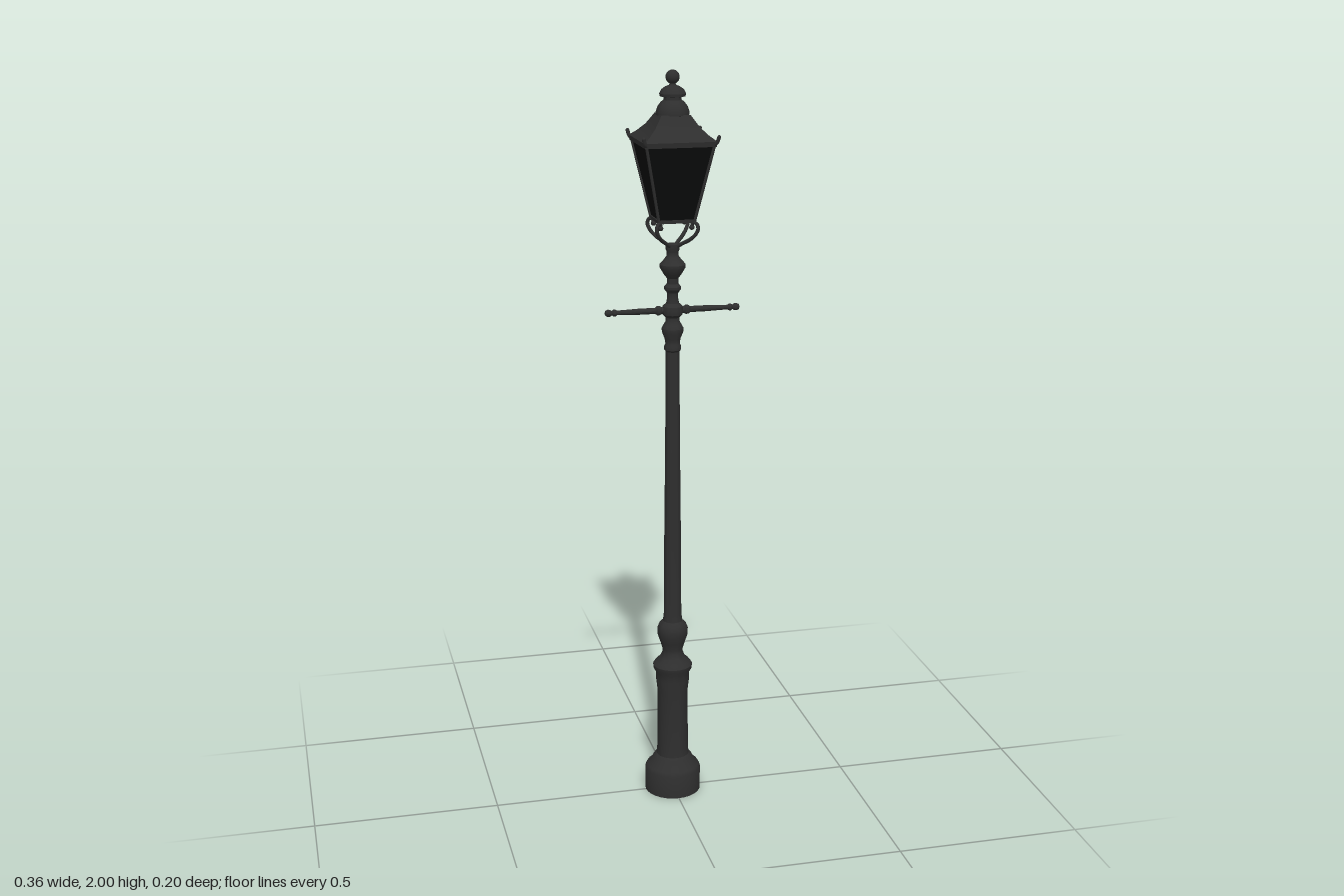
import * as THREE from 'three';
import { toCreasedNormals } from 'three/addons/utils/BufferGeometryUtils.js';

const iron = new THREE.MeshStandardMaterial({ color: 0x2e2e2e });
iron.name = 'dark iron';
const glass = new THREE.MeshStandardMaterial({ color: 0x0a0b0b });
glass.name = 'dark glass';

function addMesh(parent, name, geometry, material = iron) {
  const mesh = new THREE.Mesh(geometry, material);
  mesh.name = name;
  parent.add(mesh);
  return mesh;
}

// Turned part from [radius, height] pairs listed bottom to top
function turned(profile, segments = 28) {
  const points = profile.map(([r, y]) => new THREE.Vector2(r, y));
  return toCreasedNormals(new THREE.LatheGeometry(points, segments), 0.6);
}

// Four-sided part from [half width, height] pairs
function square(profile) {
  const points = profile.map(([w, y]) => new THREE.Vector2(w * Math.SQRT2, y));
  const geometry = new THREE.LatheGeometry(points, 4).rotateY(Math.PI / 4);
  return toCreasedNormals(geometry, 0.5);
}

// Straight round bar between two points
function bar(a, b, radius, sides = 8) {
  const dir = b.clone().sub(a);
  const geometry = new THREE.CylinderGeometry(radius, radius, dir.length(), sides);
  geometry.applyQuaternion(new THREE.Quaternion().setFromUnitVectors(
    new THREE.Vector3(0, 1, 0), dir.clone().normalize()));
  const mid = a.clone().add(b).multiplyScalar(0.5);
  return geometry.translate(mid.x, mid.y, mid.z);
}

export function createModel() {
  const model = new THREE.Group();
  model.name = 'streetLamp';

  // Pedestal and post
  addMesh(model, 'pedestal', turned([
    [0, 0], [0.077, 0], [0.077, 0.065], [0.072, 0.075], [0.062, 0.083], [0.053, 0.1],
    [0.045, 0.108], [0.043, 0.13], [0.042, 0.3], [0.046, 0.335], [0.046, 0.355],
    [0.053, 0.368], [0.054, 0.378], [0.047, 0.388], [0.034, 0.4], [0.028, 0.415],
    [0.028, 0.425], [0.034, 0.445], [0.041, 0.465], [0.042, 0.485], [0.037, 0.498], [0.027, 0.508],
  ]));
  addMesh(model, 'post', turned([
    [0.027, 0.505], [0.024, 0.53], [0.023, 0.72], [0.02, 1.0], [0.018, 1.27],
    [0.022, 1.275], [0.022, 1.285], [0.019, 1.292], [0.021, 1.305], [0.028, 1.322],
    [0.029, 1.333], [0.024, 1.342], [0.018, 1.352], [0.018, 1.362],
    [0.026, 1.37], [0.028, 1.381], [0.026, 1.392], [0.017, 1.4], [0.014, 1.415],
    [0.015, 1.428], [0.022, 1.437], [0.022, 1.444], [0.015, 1.452], [0.015, 1.466],
    [0.024, 1.478], [0.034, 1.495], [0.034, 1.503], [0.024, 1.514], [0.016, 1.525],
    [0.015, 1.535], [0.018, 1.542], [0.018, 1.556], [0, 1.56],
  ]));

  // Ladder rest: two mirrored arms with ball ends
  for (const side of [1, -1]) {
    const arm = addMesh(model, side > 0 ? 'leftLadderArm' : 'rightLadderArm', turned([
      [0.009, 0], [0.009, 0.03], [0.012, 0.034], [0.012, 0.042], [0.008, 0.047],
      [0.008, 0.09], [0.006, 0.148], [0.009, 0.153], [0.009, 0.158], [0.006, 0.162],
      [0.009, 0.167], [0.0095, 0.173], [0.007, 0.179], [0, 0.182],
    ], 14));
    arm.position.y = 1.381;
    arm.rotation.z = -side * Math.PI / 2;
  }

  // Lantern: glass box inside an iron frame
  const lantern = new THREE.Group();
  lantern.name = 'lantern';
  model.add(lantern);
  addMesh(lantern, 'glassPanes', square([[0.046, 1.622], [0.088, 1.825]]), glass);
  addMesh(lantern, 'lanternFloor', square([
    [0, 1.617], [0.049, 1.617], [0.05, 1.626], [0.045, 1.626],
  ]));
  addMesh(lantern, 'roof', square([
    [0.086, 1.815], [0.092, 1.815], [0.094, 1.828], [0.076, 1.842],
    [0.058, 1.86], [0.045, 1.879], [0.038, 1.89],
  ]));
  addMesh(lantern, 'roofUnderside', square([[0, 1.816], [0.09, 1.816]]), glass);

  // Ventilator stack and finial
  addMesh(lantern, 'ventilator', turned([
    [0.036, 1.885], [0.043, 1.888], [0.043, 1.895], [0.039, 1.908], [0.031, 1.919],
    [0.023, 1.925], [0.023, 1.932], [0.033, 1.934], [0.034, 1.941], [0.029, 1.951],
    [0.019, 1.958], [0.009, 1.962], [0.007, 1.968], [0, 1.97],
  ]));
  const finial = addMesh(lantern, 'finialBall', new THREE.SphereGeometry(0.018, 20, 14));
  finial.position.y = 1.982;

  // Corner posts, roof tips and curled brackets on the four diagonals
  for (let i = 0; i < 4; i++) {
    const corner = new THREE.Group();
    corner.name = 'corner' + (i + 1);
    corner.rotation.y = Math.PI / 4 + i * Math.PI / 2;
    lantern.add(corner);
    const at = (r, y) => new THREE.Vector3(r, y, 0);
    addMesh(corner, 'cornerPost', bar(at(0.066, 1.62), at(0.126, 1.825), 0.004));
    const tip = new THREE.CatmullRomCurve3([at(0.122, 1.818), at(0.131, 1.826), at(0.137, 1.84)]);
    addMesh(corner, 'roofTip', new THREE.TubeGeometry(tip, 6, 0.005, 8));
    addMesh(corner, 'tipBall', new THREE.SphereGeometry(0.005, 8, 6)).position.set(0.137, 1.84, 0);
    const curl = new THREE.CatmullRomCurve3([
      at(0.012, 1.55), at(0.03, 1.56), at(0.052, 1.572), at(0.07, 1.588),
      at(0.077, 1.604), at(0.071, 1.616), at(0.061, 1.616), at(0.058, 1.606),
    ]);
    addMesh(corner, 'bracket', new THREE.TubeGeometry(curl, 28, 0.005, 8));
    addMesh(corner, 'bracketEnd', new THREE.SphereGeometry(0.007, 10, 8)).position.set(0.058, 1.605, 0);
  }
  return model;
}
